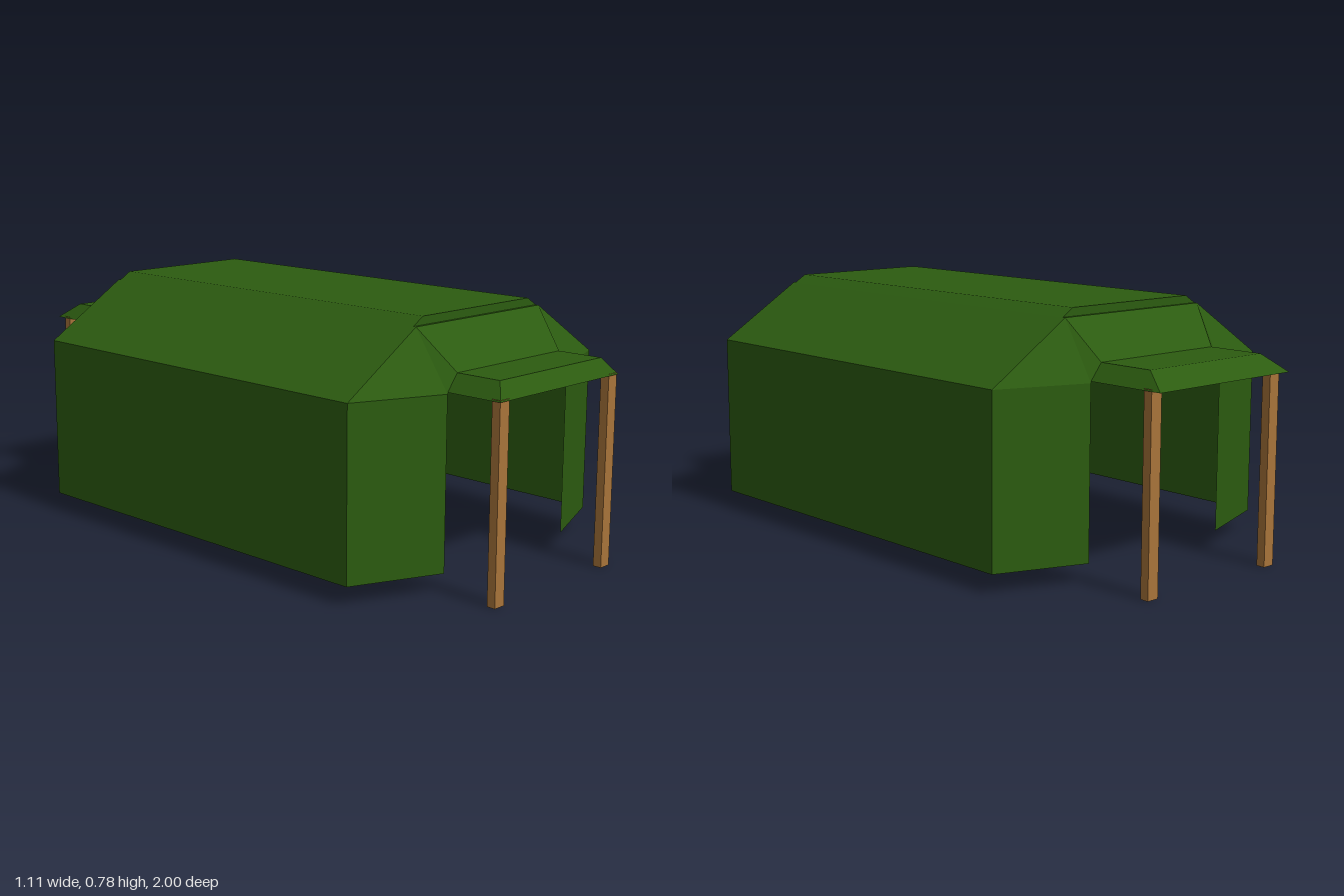
import * as THREE from 'three';

const canvas = new THREE.MeshStandardMaterial({ color: 0x2c5c10, flatShading: true, side: THREE.DoubleSide });
const wood = new THREE.MeshStandardMaterial({ color: 0xa8743a, flatShading: true });
const CENTRE = new THREE.Vector3(0, 0.3, 0);

// Flat cloth panels from polygon corner lists, every face turned outward
function cloth(name, polygons) {
  const positions = [];
  for (const polygon of polygons) {
    const p = polygon.map((c) => new THREE.Vector3(...c));
    for (let i = 1; i < p.length - 1; i++) {
      const tri = new THREE.Triangle(p[0], p[i], p[i + 1]);
      const normal = tri.getNormal(new THREE.Vector3());
      const out = tri.getMidpoint(new THREE.Vector3()).sub(CENTRE);
      const corners = normal.dot(out) < 0 ? [p[0], p[i + 1], p[i]] : [p[0], p[i], p[i + 1]];
      corners.forEach((v) => positions.push(v.x, v.y, v.z));
    }
  }
  const geometry = new THREE.BufferGeometry();
  geometry.setAttribute('position', new THREE.Float32BufferAttribute(positions, 3));
  geometry.computeVertexNormals();
  const mesh = new THREE.Mesh(geometry, canvas);
  mesh.name = name;
  return mesh;
}

export function createModel() {
  const tent = new THREE.Group();
  tent.name = 'tent';
  const base = 0.06, eave = 0.58, ridge = 0.755, top = 0.78, hood = 0.635;
  const wide = 0.555, door = 0.275, roofX = 0.28, topX = 0.24;

  // Signed z of: wall end, doorway, canopy crest, canopy lip, post centre
  const ends = [
    { name: 'front', wall: 0.7, doorZ: 0.815, crest: 0.965, lip: 1, post: 0.983 },
    { name: 'back', wall: -0.64, doorZ: -0.74, crest: -0.925, lip: -1, post: -0.952 },
  ];
  const [f, b] = ends;

  // Raised roof panel with bevelled sides and upright ends
  const fz = f.wall - 0.01, bz = b.wall + 0.01;
  const roof = [[[-topX, top, bz], [topX, top, bz], [topX, top, fz], [-topX, top, fz]]];
  for (const s of [-1, 1]) {
    roof.push([[s * topX, top, bz], [s * topX, top, fz], [s * roofX, ridge, fz], [s * roofX, ridge, bz]]);
  }
  for (const z of [fz, bz]) {
    roof.push([[-roofX, ridge, z], [roofX, ridge, z], [topX, top, z], [-topX, top, z]]);
  }
  // Narrow flat ledge from the roof ends to the end slopes
  for (const [z0, z1] of [[fz, f.wall], [bz, b.wall]]) {
    roof.push([[-roofX, ridge, z0], [roofX, ridge, z0], [roofX, ridge, z1], [-roofX, ridge, z1]]);
  }
  tent.add(cloth('roofPanel', roof));

  // Long side walls and the slopes above them
  for (const s of [-1, 1]) {
    const side = s > 0 ? 'left' : 'right';
    tent.add(cloth(side + 'Wall', [
      [[s * wide, base, b.wall], [s * wide, base, f.wall], [s * wide, eave, f.wall], [s * wide, eave, b.wall]],
    ]));
    tent.add(cloth(side + 'RoofSlope', [
      [[s * wide, eave, b.wall], [s * wide, eave, f.wall], [s * roofX, ridge, f.wall], [s * roofX, ridge, b.wall]],
    ]));
  }

  for (const e of ends) {
    const { wall, doorZ, crest, lip } = e;
    const hx = 0.235, brim = 0.585;

    // End slope over the doorway, corner gussets and angled flaps
    const slope = [[[-roofX, ridge, wall], [roofX, ridge, wall], [hx, hood, doorZ], [-hx, hood, doorZ]]];
    const flaps = [];
    for (const s of [-1, 1]) {
      slope.push([[s * roofX, ridge, wall], [s * hx, hood, doorZ], [s * door, eave, doorZ]]);
      slope.push([[s * roofX, ridge, wall], [s * wide, eave, wall], [s * door, eave, doorZ]]);
      flaps.push([[s * wide, base, wall], [s * door, base, doorZ], [s * door, eave, doorZ], [s * wide, eave, wall]]);
    }
    tent.add(cloth(e.name + 'Slope', slope), cloth(e.name + 'Flaps', flaps));

    // Canopy with sloping sides and lip
    const canopy = [
      [[-hx, hood, doorZ], [hx, hood, doorZ], [hx, hood, crest], [-hx, hood, crest]],
      [[-hx, hood, crest], [hx, hood, crest], [door, brim, lip], [-door, brim, lip]],
    ];
    for (const s of [-1, 1]) {
      canopy.push([[s * hx, hood, doorZ], [s * hx, hood, crest], [s * door, brim, lip], [s * door, brim, doorZ]]);
    }
    tent.add(cloth(e.name + 'Canopy', canopy));

    // Wooden canopy posts
    for (const s of [-1, 1]) {
      const post = new THREE.Mesh(new THREE.BoxGeometry(0.04, 0.59, 0.028), wood);
      post.name = e.name + (s > 0 ? 'Left' : 'Right') + 'Post';
      post.position.set(s * 0.252, 0.295, e.post);
      tent.add(post);
    }
  }
  return tent;
}
